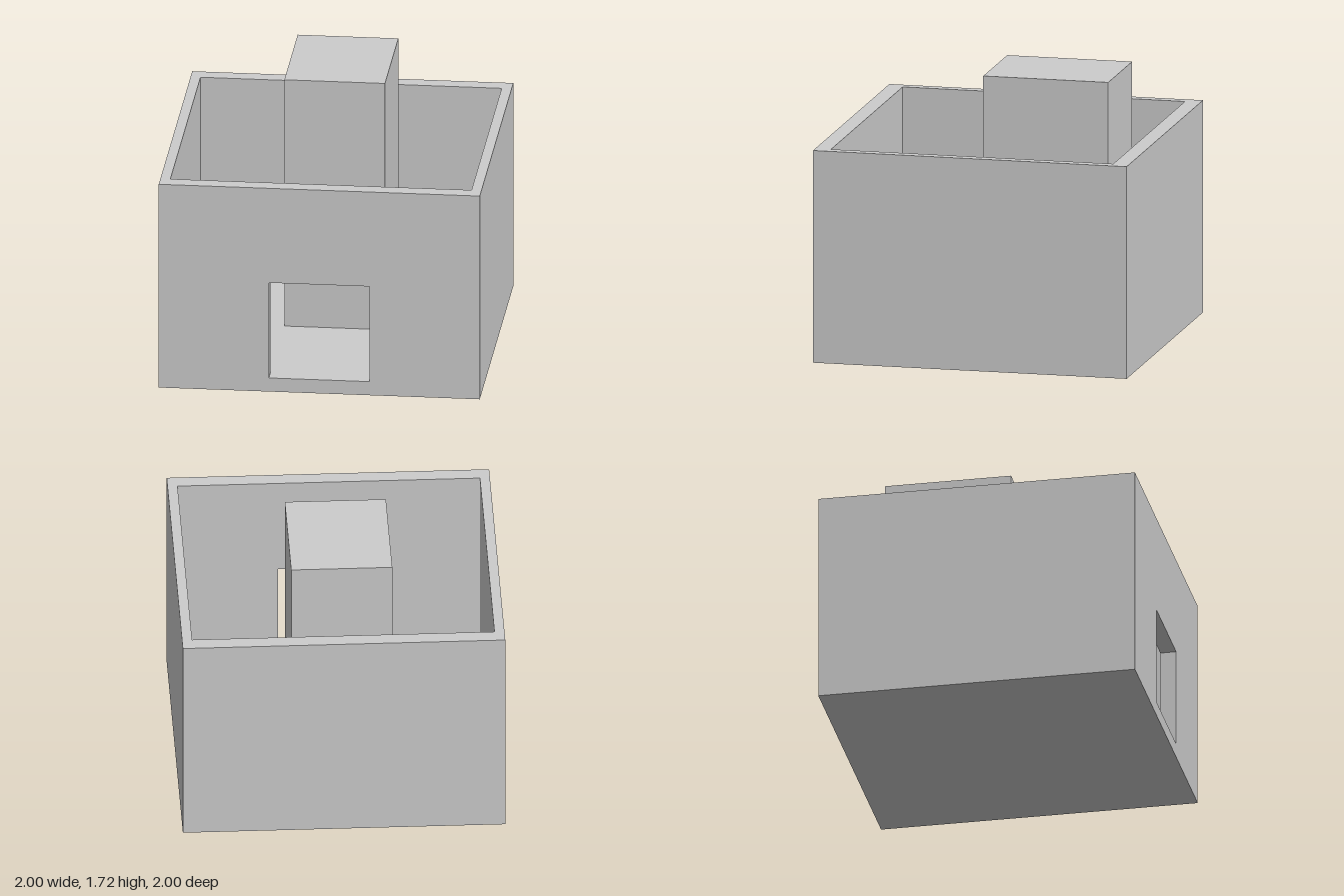
import * as THREE from 'three';

const W = 2, D = 2, H = 1.345;      // outer shell
const FLOOR = 0.09;                 // floor thickness, also the door sill height
const SIDE = 0.062, END = 0.1;      // wall thicknesses

export function createModel() {
  const group = new THREE.Group();
  const material = new THREE.MeshStandardMaterial({ color: 0xcccccc });

  function add(name, geometry, x, y, z) {
    const mesh = new THREE.Mesh(geometry, material);
    mesh.name = name;
    mesh.position.set(x, y, z);
    group.add(mesh);
  }

  // box given by its size and the centre of its base
  function box(name, w, h, d, x, y, z) {
    add(name, new THREE.BoxGeometry(w, h, d), x, y + h / 2, z);
  }

  // floor slab between the walls
  box('floor', W - 2 * SIDE, FLOOR, D - 2 * END, 0, 0, 0);

  // side and back walls
  for (const s of [1, -1]) {
    box(s > 0 ? 'leftWall' : 'rightWall', SIDE, H, D - 2 * END, s * (W - SIDE) / 2, 0, 0);
  }
  box('backWall', W, H, END, 0, 0, -(D - END) / 2);

  // front wall with a rectangular doorway
  const wall = new THREE.Shape([[-1, 0], [1, 0], [1, H], [-1, H]].map(p => new THREE.Vector2(...p)));
  const door = 0.3135, top = 0.72;
  wall.holes.push(new THREE.Path(
    [[-door, FLOOR], [-door, top], [door, top], [door, FLOOR]].map(p => new THREE.Vector2(...p))));
  add('frontWall', new THREE.ExtrudeGeometry(wall, { depth: END, bevelEnabled: false }), 0, 0, D / 2 - END);

  // tall block standing on the floor, towards the back
  box('innerBlock', 0.627, 1.72 - FLOOR, 0.797, 0, FLOOR, -0.317);

  return group;
}
